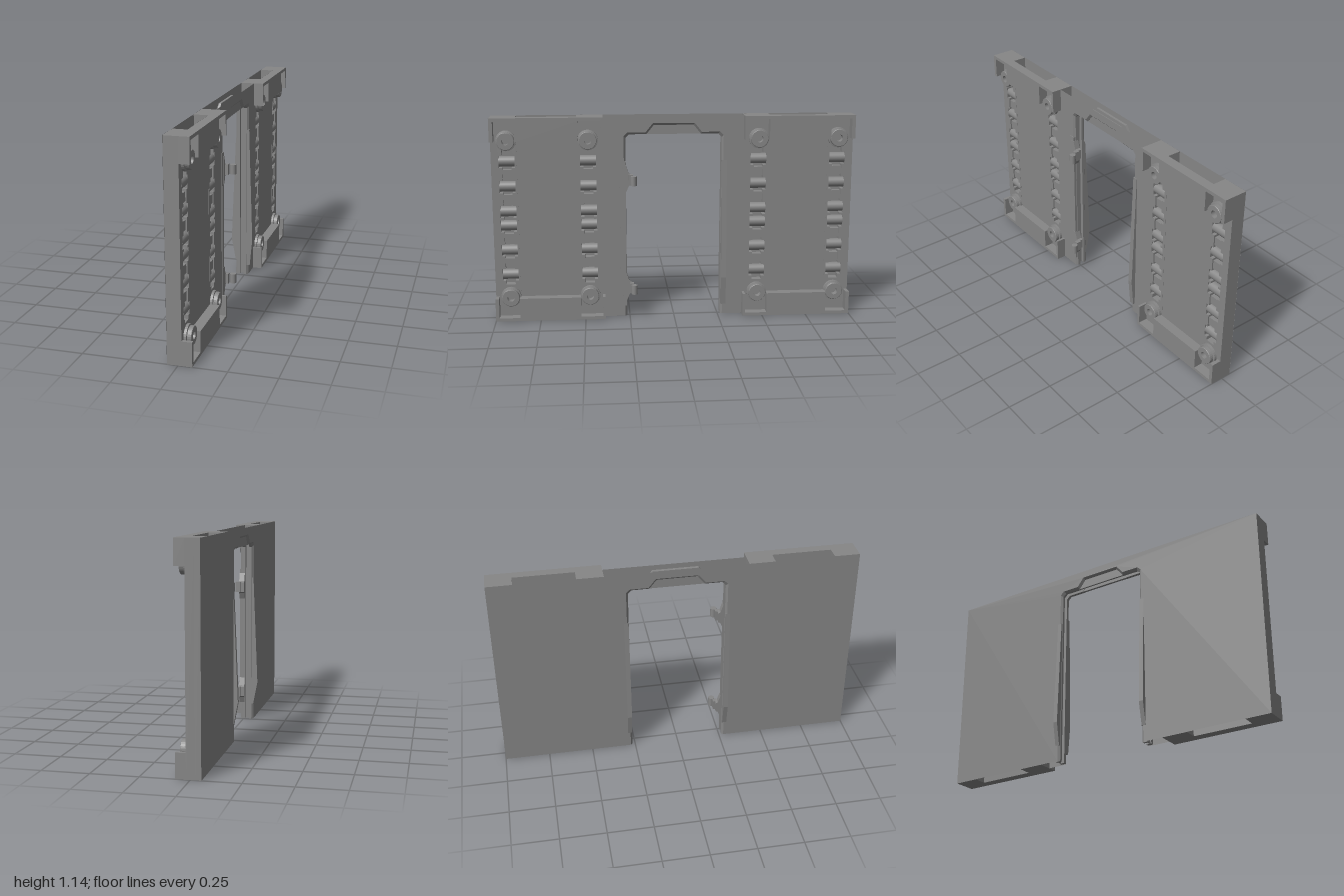
import * as THREE from 'three';

const mat = new THREE.MeshStandardMaterial({ color: 0x868686, side: THREE.DoubleSide });
const BACK = -0.056, FACE = 0.02, FRONT = 0.073, TOP = 1.14;

function add(parent, name, geo) {
  const m = new THREE.Mesh(geo, mat);
  m.name = name;
  parent.add(m);
  return m;
}
function box(parent, name, x0, x1, y0, y1, z0, z1) {
  const m = add(parent, name, new THREE.BoxGeometry(x1 - x0, y1 - y0, Math.abs(z1 - z0)));
  m.position.set((x0 + x1) / 2, (y0 + y1) / 2, (z0 + z1) / 2);
}
const poly = (pts) => new THREE.Shape(pts.map(([a, b]) => new THREE.Vector2(a, b)));

// Shape drawn in (z, y), placed flat at x or extruded from x0 to x1
const sheet = (parent, name, shape, x) =>
  add(parent, name, new THREE.ShapeGeometry(shape).rotateY(-Math.PI / 2).translate(x, 0, 0));
const slab = (parent, name, shape, x0, x1) =>
  add(parent, name, new THREE.ExtrudeGeometry(shape, { depth: x1 - x0, bevelEnabled: false })
    .rotateY(-Math.PI / 2).translate(x1, 0, 0));
// Shape drawn in (x, y), extruded from z0 to z1
const rib = (parent, name, pts, z0, z1) =>
  add(parent, name, new THREE.ExtrudeGeometry(poly(pts), { depth: z1 - z0, bevelEnabled: false }).translate(0, 0, z0));

// Outline of the doorway with its raised notch, grown outward by d
function doorEdge(d) {
  const w = 0.265 + d, h = 1.038 + d;
  const half = [[w, 0], [w, h - 0.02], [w - 0.02, h], [0.15 + d * 0.5, h], [0.11 + d * 0.5, h + 0.05]];
  return [...half, ...half.slice().reverse().map(([z, y]) => [-z, y])];
}

// Sloping strip from the skin (at x0) down to the frame (at x1) around the doorway;
// flip keeps its front turned away from the wall
function chamfer(parent, x0, x1, flip) {
  const outer = doorEdge(0.011), inner = doorEdge(0), pos = [];
  for (let i = 0; i < outer.length - 1; i++) {
    const [a, b] = [i, i + 1].map((k) => [x0, outer[k][1], outer[k][0]]);
    const [c, d] = [i + 1, i].map((k) => [x1, inner[k][1], inner[k][0]]);
    pos.push(...(flip ? [a, c, b, a, d, c] : [a, b, c, a, c, d]).flat());
  }
  const geo = new THREE.BufferGeometry();
  geo.setAttribute('position', new THREE.Float32BufferAttribute(pos, 3));
  geo.computeVertexNormals();
  add(parent, 'doorChamfer', geo);
}

// Ring-shaped boss, stepped, with a bore
function boss(parent, y, z) {
  const pts = [[0.02, -0.002], [0.02, 0.038], [0.046, 0.038], [0.048, 0.036], [0.048, 0.016], [0.056, 0.014], [0.056, -0.002]];
  const geo = new THREE.LatheGeometry(pts.map(([r, h]) => new THREE.Vector2(r, h)), 28).toNonIndexed();
  geo.computeVertexNormals();
  add(parent, 'ringBoss', geo.rotateZ(-Math.PI / 2)).position.set(FACE, y, z);
}

// Upright post with a stepped channel holding horizontal rollers
const rollerYs = [0.255, 0.395, 0.535, 0.615, 0.755, 0.895];
function post(parent, z0, z1, zc) {
  const shape = poly([[z0, 0], [z1, 0], [z1, TOP], [z0, TOP]]);
  const side = [[0.026, 0.2]];
  for (const y of rollerYs) side.push([0.026, y - 0.034], [0.044, y - 0.034], [0.044, y + 0.034], [0.026, y + 0.034]);
  side.push([0.026, 0.96]);
  const hole = [...side.map(([w, y]) => [zc + w, y]), ...side.reverse().map(([w, y]) => [zc - w, y])];
  shape.holes.push(new THREE.Path(hole.map(([a, b]) => new THREE.Vector2(a, b))));
  slab(parent, 'postFront', shape, -0.025, FACE);
  box(parent, 'postCore', BACK + 0.001, -0.025, 0, TOP, z0, z1);
  for (const y of rollerYs) {
    const r = add(parent, 'roller', new THREE.CylinderGeometry(0.029, 0.029, 0.088, 24).rotateX(Math.PI / 2));
    r.position.set(-0.008, y, zc);
  }
  // spacer blocks between rollers
  for (const y of [0.325, 0.465, 0.685, 0.825]) box(parent, 'spacer', -0.025, 0.013, y - 0.024, y + 0.024, zc - 0.026, zc + 0.026);
}

// One wall panel on the side s (+1 or -1 along z)
function panel(s) {
  const g = new THREE.Group();
  g.name = s > 0 ? 'frontPanel' : 'rearPanel';
  for (const [a, b, c] of [[0.86, 1, 0.915], [0.388, 0.532, 0.472]]) {
    post(g, Math.min(s * a, s * b), Math.max(s * a, s * b), s * c);
    boss(g, 0.13, s * c);
    boss(g, 1.012, s * c);
  }
  sheet(g, 'panelFace', poly([[0.53, 0], [0.86, 0], [0.86, TOP], [0.53, TOP]].map(([z, y]) => [s * z, y])), FACE - 0.001);
  // top and bottom rails with corner pockets around the bosses
  const rail = [[0.388, 0], [1, 0], [1, 0.13], [0.98, 0.13], [0.98, 0.018], [0.865, 0.018], [0.865, 0.13],
    [0.525, 0.13], [0.525, 0.018], [0.402, 0.018], [0.402, 0.13], [0.388, 0.13]];
  slab(g, 'bottomRail', poly(rail.map(([z, y]) => [s * z, y])), FACE, FRONT);
  slab(g, 'topRail', poly(rail.map(([z, y]) => [s * z, TOP - y])), FACE, FRONT);
  return g;
}

// Hinge: gusset on the jamb, a short arm and an upright barrel
function hinge(y) {
  const g = new THREE.Group();
  g.name = 'hinge';
  slab(g, 'hingeGusset', poly([[0.285, y - 0.07], [0.265, y - 0.07], [0.25, y - 0.035], [0.238, y - 0.028],
    [0.238, y + 0.028], [0.25, y + 0.035], [0.265, y + 0.08], [0.285, y + 0.08]]), -0.005, 0.026);
  box(g, 'hingeArm', 0.015, 0.042, y - 0.027, y + 0.03, 0.226, 0.25);
  const b = add(g, 'hingeBarrel', new THREE.CylinderGeometry(0.017, 0.017, 0.052, 24));
  b.position.set(0.063, y, 0.224);
  return g;
}

export function createModel() {
  const root = new THREE.Group();
  root.name = 'doorWall';
  root.add(panel(1), panel(-1));

  // back skin across the whole wall, front skin around the doorway
  const opening = doorEdge(0.011).reverse();
  sheet(root, 'backSkin', poly([[1, 0], [1, TOP], [-1, TOP], [-1, 0], ...opening]), BACK);
  sheet(root, 'doorwaySkin', poly([[0.39, 0], [0.39, TOP], [-0.39, TOP], [-0.39, 0], ...opening]), FACE);
  chamfer(root, FACE, FACE - 0.011, false);
  chamfer(root, BACK, BACK + 0.011, true);

  // two frame bands with a slot between them, and plates filling the notch
  const band = poly([...doorEdge(0), ...doorEdge(0.03).reverse()]);
  const notch = poly([[0.15, 1.038], [0.11, 1.088], [-0.11, 1.088], [-0.15, 1.038]]);
  for (const [x0, x1] of [[BACK + 0.011, -0.031], [-0.009, FACE - 0.011]]) {
    slab(root, 'doorFrame', band, x0, x1);
    slab(root, 'notchPlate', notch, x0 + 0.002, x1 - 0.002);
  }
  for (const s of [-1, 1]) {
    box(root, 'slotBacking', -0.031, -0.009, 0, 1.04, s * 0.285, s * 0.289);
    const z0 = s > 0 ? 0.267 : -0.292;
    rib(root, 'backFin', [[BACK + 0.011, 0.84], [BACK, 0.84], [-0.081, 0.22], [BACK, 0.09], [BACK + 0.011, 0.09]], z0, z0 + 0.025);
  }
  rib(root, 'frontFin', [[0.008, 0.06], [0.03, 0.06], [0.045, 0.22], [0.023, 0.89], [0.008, 0.89]], -0.295, -0.267);
  box(root, 'hingeStrip', 0.008, 0.024, 0.06, 0.89, 0.267, 0.3);
  root.add(hinge(0.787), hinge(0.167));
  return root;
}
